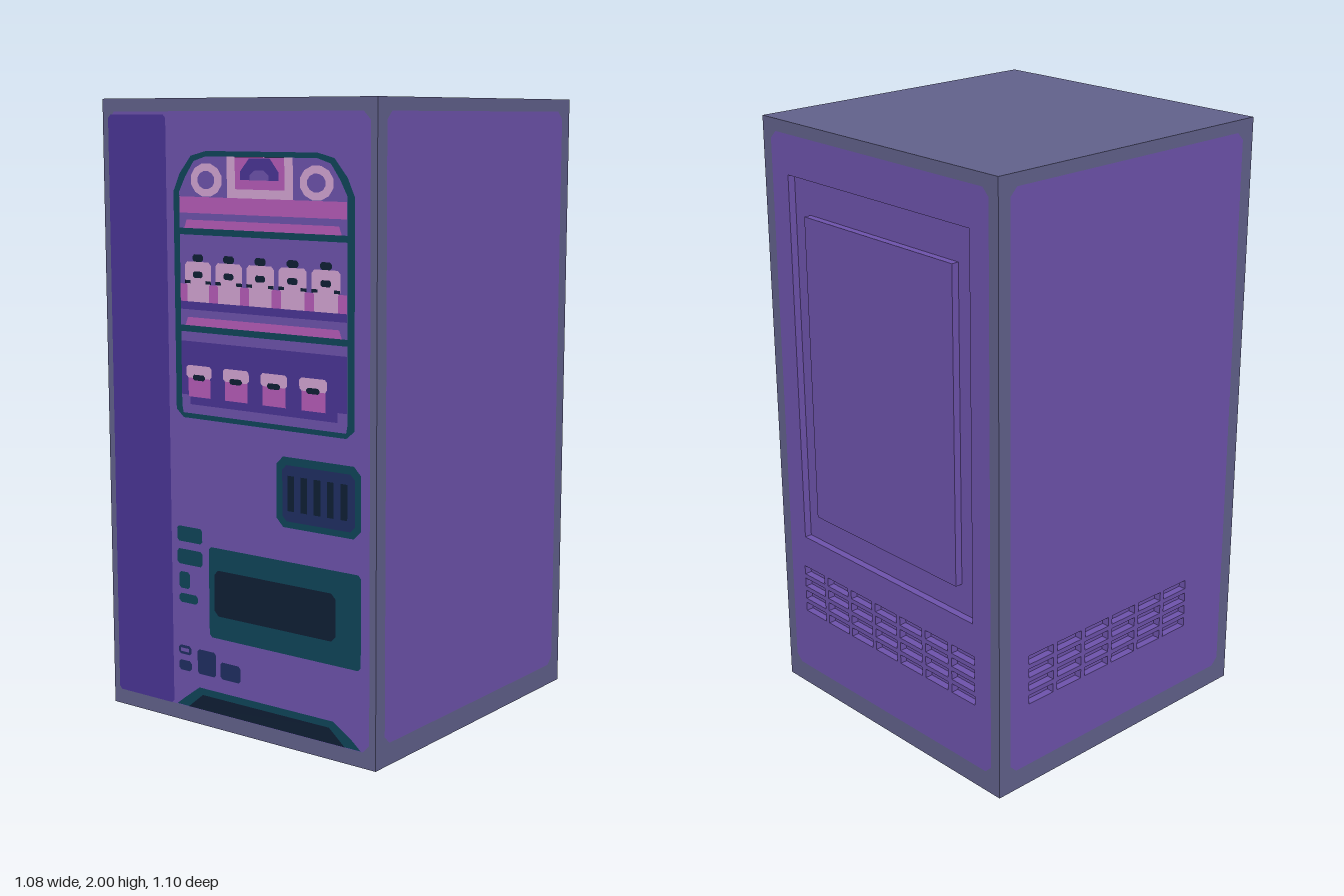
import * as THREE from 'three';

const W = 1.078, D = 1.094, H = 2, T = 0.025; // cabinet size and wall thickness

const mat = (name, color) => {
  const m = new THREE.MeshStandardMaterial({ color });
  m.name = name;
  return m;
};

// polygon from [x, y] pairs, and a rectangle with cut corners
const poly = (pts) => pts.map(([x, y]) => new THREE.Vector2(x, y));
const rect = (x0, y0, x1, y1, c = 0) => c
  ? poly([[x0 + c, y0], [x1 - c, y0], [x1, y0 + c], [x1, y1 - c], [x1 - c, y1], [x0 + c, y1], [x0, y1 - c], [x0, y0 + c]])
  : poly([[x0, y0], [x1, y0], [x1, y1], [x0, y1]]);

export function createModel() {
  const grey = mat('cabinet grey', 0x60608a);
  const purple = mat('panel purple', 0x6c52aa);
  const violet = mat('deep violet', 0x493494);
  const teal = mat('dark teal', 0x0e4458);
  const navy = mat('navy', 0x1f2d60);
  const dark = mat('near black blue', 0x0e1e34);
  const pink = mat('pink', 0xb45ab6);
  const pale = mat('pale pink', 0xd0a2d0);

  const model = new THREE.Group();
  model.name = 'vendingMachine';

  // core behind the walls; its sides show inside the recesses
  const core = new THREE.Mesh(new THREE.BoxGeometry(W - 2 * T, H, D - 2 * T),
    [purple, purple, grey, grey, purple, purple]);
  core.name = 'core';
  core.position.y = H / 2;
  model.add(core);

  const slab = (name, outline, holes, material) => {
    const shape = new THREE.Shape(outline);
    shape.holes = holes.map((h) => new THREE.Path(h));
    const mesh = new THREE.Mesh(new THREE.ExtrudeGeometry(shape, { depth: T, bevelEnabled: false }), material);
    mesh.name = name;
    return mesh;
  };

  // wall: grey frame with a flush purple panel, which may have recesses
  const wall = (name, width, dist, angle, [px, y0, y1], holes = []) => {
    const g = new THREE.Group();
    g.name = name;
    const panel = rect(-px, y0, px, y1, 0.025);
    g.add(slab(name + 'Frame', rect(-width / 2, 0, width / 2, H), [panel], grey));
    g.add(slab(name + 'Panel', panel, holes, purple));
    g.children.forEach((m) => { m.position.z = dist - T; });
    g.rotation.y = angle;
    model.add(g);
    return g;
  };

  // grid of vent slots, four rows
  const vents = (start, columns) => {
    const out = [];
    for (let c = 0; c < columns; c++) {
      for (let r = 0; r < 4; r++) {
        const x = start + c * 0.125, y = 0.29 + r * 0.047;
        out.push(rect(x, y, x + 0.107, y + 0.031));
      }
    }
    return out;
  };

  wall('front', W, D / 2, 0, [0.515, 0.05, 1.96]);
  wall('rightSide', D, W / 2, Math.PI / 2, [0.5, 0.07, 1.96]);
  wall('leftSide', D, W / 2, -Math.PI / 2, [0.5, 0.07, 1.96], vents(-0.42, 6));
  const back = wall('back', W, D / 2, Math.PI, [0.5, 0.07, 1.96],
    [rect(-0.42, 0.575, 0.42, 1.83), ...vents(-0.43, 7)]);
  const hatch = slab('backHatch', rect(-0.345, 0.675, 0.345, 1.71), [], purple);
  hatch.position.z = D / 2 - T;
  back.add(hatch);

  // painted front details, drawn in hundredths and stacked in thin layers
  const front = new THREE.Group();
  front.name = 'frontDetails';
  front.position.z = D / 2;
  front.scale.set(0.01, 0.01, 1);
  model.add(front);
  const paint = (name, material, layer, pts) => {
    const mesh = new THREE.Mesh(new THREE.ShapeGeometry(new THREE.Shape(pts)), material);
    mesh.name = name;
    mesh.position.z = layer * 0.0012;
    front.add(mesh);
  };
  const box = (name, material, layer, x0, y0, x1, y1, c) => paint(name, material, layer, rect(x0, y0, x1, y1, c));
  const oval = (cx, cy, rx, ry) => poly(Array.from({ length: 12 }, (_, i) => {
    const a = (i + 0.5) * Math.PI / 6;
    return [cx + rx * Math.cos(a), cy + ry * Math.sin(a)];
  }));

  box('sideStripe', violet, 1, -51.5, 5, -27, 195, 1);

  // display window with arched top
  const arch = (t, v) => poly([[-21, 100.5 + v], [43, 100.5 + v], [46 - t, 103 + v], [46 - t, 171.5],
    [43.4 - t, 177 - v / 2], [38.7 - t / 2, 182.5 - v], [32.5, 184 - v], [-10.5, 184 - v],
    [-16.7 + t / 2, 182.5 - v], [-21.4 + t, 177 - v / 2], [-24 + t, 171.5], [-24 + t, 103 + v]]);
  paint('windowFrame', teal, 1, arch(0, 0));
  paint('windowInterior', purple, 2, arch(2.5, 1.6));

  // header sign
  box('headerBand', pink, 3, -21.4, 165, 43.4, 170);
  box('headerBlock', pale, 3, -2, 169.5, 23.5, 182.4);
  box('headerInset', pink, 4, 1.3, 172.7, 20.4, 182.4);
  paint('headerArch', violet, 5, poly([[3.4, 175.5], [18.3, 175.5], [18.3, 178], [15, 182], [7, 182], [3.4, 178]]));
  paint('headerArchCentre', purple, 6, poly([[7.3, 175.5], [14.5, 175.5], [14.5, 177], [12.5, 178.5], [9.3, 178.5], [7.3, 177]]));
  for (const x of [-10.3, 32.3]) {
    paint('headerRing', pale, 3, oval(x, 175.2, 6.4, 5.2));
    paint('headerRingCentre', purple, 4, oval(x, 175.2, 3.5, 2.8));
  }

  // shelves with a pink lip above each
  for (const y of [158.3, 128]) {
    box('shelf', teal, 3, -21.5, y, 43.5, y + 2);
    paint('shelfLip', pink, 3, poly([[-19.5, y + 2], [41.5, y + 2], [40.5, y + 4.6], [-18.5, y + 4.6]]));
  }

  // upper row of goods
  box('upperBackStrip', pink, 3, -21.4, 137.5, 43.4, 143);
  box('upperShelfShade', violet, 3, -21.4, 135, 43.4, 137.5);
  for (let i = 0; i < 5; i++) {
    const x = -14 + i * 12.45;
    box('bottleHead', pale, 4, x - 5.3, 142.5, x + 5.3, 150, 1);
    box('bottleBody', pale, 4, x - 4.4, 137.5, x + 4.4, 143.5);
    box('bottleCap', dark, 4, x - 2.2, 150, x + 2.2, 152.3, 0.7);
    box('bottleMark', dark, 5, x - 2, 145, x + 2, 147, 0.6);
    for (const s of [-1, 1]) box('bottleNotch', dark, 5, x + s * 4.2 - 1.1, 143.2, x + s * 4.2 + 1.1, 144.2);
  }

  // lower row of goods
  box('lowerBackdrop', violet, 3, -21.4, 108, 43.4, 125);
  box('lowerShelfShade', violet, 3, -18, 105, 40, 108);
  for (let i = 0; i < 4; i++) {
    const x = -14 + i * 15;
    box('tubBody', pink, 4, x - 4.5, 107.5, x + 4.5, 114.5);
    box('tubLid', pale, 5, x - 5.2, 113.5, x + 5.2, 117.5, 0.8);
    box('tubMark', dark, 6, x - 2.5, 112.8, x + 2.5, 114.6, 0.6);
  }

  // keypad
  box('keypadFrame', teal, 1, 16.4, 70.5, 48.4, 92.5, 2.6);
  box('keypadFace', navy, 2, 18.8, 72.5, 46.2, 90, 1.6);
  for (let i = 0; i < 5; i++) {
    const x = 20.9 + i * 5.03;
    box('keypadSlot', dark, 3, x, 75.8, x + 2.5, 86.8);
  }

  // delivery hatch
  box('hatchFrame', teal, 1, -11.3, 30.2, 48.4, 59.8, 1);
  box('hatchOpening', dark, 2, -9, 37.6, 39, 52.6, 1.6);

  // buttons and coin parts
  for (const [x0, y0, x1, y1] of [[-24.6, 60, -14, 65], [-24.6, 52.5, -14, 57.5], [-24, 44.5, -19.4, 50], [-24, 39.8, -16.2, 42.8]]) {
    box('button', teal, 1, x0, y0, x1, y1, 0.8);
  }
  for (const [x0, y0, x1, y1] of [[-24.6, 22.4, -19.2, 25.4], [-24.6, 17, -19.2, 20.4], [-16.6, 17, -8.8, 25.2], [-7, 17, 1.3, 22.6]]) {
    box('coinPart', navy, 1, x0, y0, x1, y1, 0.8);
  }
  box('coinSlotInset', purple, 2, -23.6, 23.3, -20.2, 24.5);

  // kick recess at the foot
  paint('kickFrame', teal, 1, poly([[-25.6, 5.2], [48.4, 5.2], [45, 8], [38, 12.4], [-16, 12.4], [-22, 8]]));
  paint('kickOpening', dark, 2, poly([[-20.5, 5.2], [42.5, 5.2], [36.5, 10.2], [-14.5, 10.2]]));

  return model;
}
